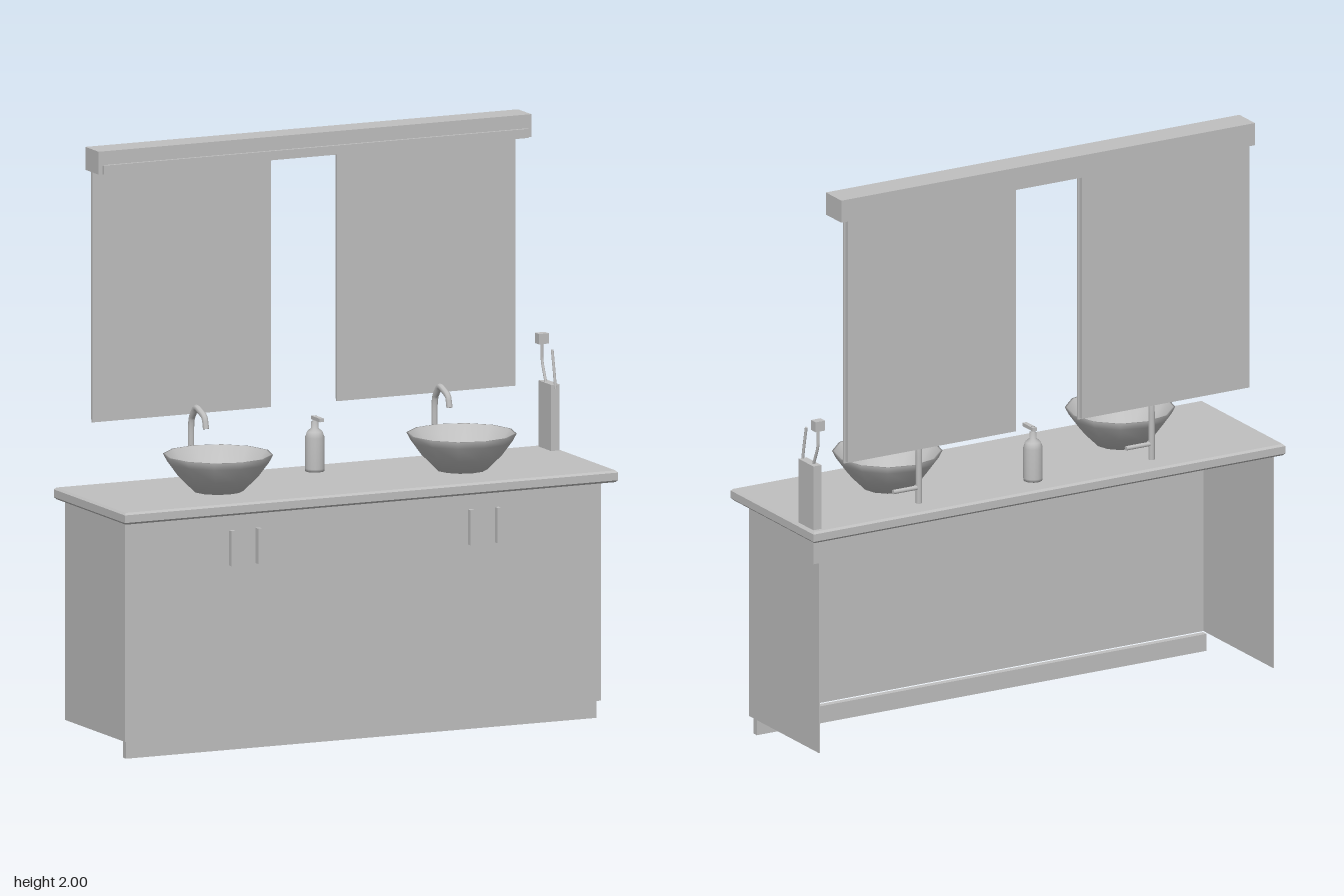
import * as THREE from 'three';

const material = new THREE.MeshStandardMaterial({ color: 0xc0c0c0, side: THREE.DoubleSide });
material.name = 'plain grey';

export function createModel() {
  const model = new THREE.Group();
  model.name = 'doubleVanity';

  const add = (name, geometry, parent = model) => {
    const mesh = new THREE.Mesh(geometry, material);
    mesh.name = name;
    parent.add(mesh);
    return mesh;
  };
  // Box given by its limits on each axis
  const box = (name, x0, x1, y0, y1, z0, z1, parent) => {
    const mesh = add(name, new THREE.BoxGeometry(x1 - x0, y1 - y0, z1 - z0), parent);
    mesh.position.set((x0 + x1) / 2, (y0 + y1) / 2, (z0 + z1) / 2);
    return mesh;
  };
  // Pipe through points, with straight runs and rounded corners
  const pipe = (name, points, radius, parent, sides = 8) => {
    const p = points.map((a) => new THREE.Vector3(...a));
    const path = new THREE.CurvePath();
    let from = p[0];
    for (let i = 1; i < p.length - 1; i++) {
      const before = p[i].clone().lerp(p[i - 1], 0.25);
      const after = p[i].clone().lerp(p[i + 1], 0.25);
      path.add(new THREE.LineCurve3(from, before));
      path.add(new THREE.QuadraticBezierCurve3(before, p[i], after));
      from = after;
    }
    path.add(new THREE.LineCurve3(from, p[p.length - 1]));
    const mesh = add(name, new THREE.TubeGeometry(path, 32, radius, sides), parent);
    // Close both ends
    for (const t of [0, 1]) {
      const cap = add(name + 'End', new THREE.CircleGeometry(radius, sides), parent);
      cap.position.copy(path.getPoint(t));
      const dir = path.getTangent(t).multiplyScalar(t ? 1 : -1);
      cap.quaternion.setFromUnitVectors(new THREE.Vector3(0, 0, 1), dir);
    }
    return mesh;
  };
  const lathe = (points, sides) =>
    new THREE.LatheGeometry(points.map(([r, y]) => new THREE.Vector2(r, y)), sides);

  // Cabinet: thin shell, open at the back and underneath
  const cabinet = new THREE.Group();
  cabinet.name = 'cabinet';
  model.add(cabinet);
  box('cabinetFront', -0.888, 0.883, 0.06, 0.81, 0.206, 0.21, cabinet);
  box('cabinetRightSide', -0.888, -0.884, 0.06, 0.81, -0.25, 0.206, cabinet);
  box('cabinetLeftSide', 0.879, 0.883, 0.06, 0.81, -0.25, 0.206, cabinet);
  box('kickBoard', -0.878, 0.873, 0, 0.06, 0.175, 0.197, cabinet);
  for (const x of [-0.495, -0.395, 0.395, 0.495]) {
    box('doorHandle', x - 0.007, x + 0.007, 0.63, 0.75, 0.21, 0.23, cabinet);
  }

  // Countertop with a narrow bevelled edge
  const slab = new THREE.Shape([[-0.912, -0.265], [0.91, -0.265], [0.91, 0.265], [-0.912, 0.265]]
    .map(([x, y]) => new THREE.Vector2(x, y)));
  const top = new THREE.ExtrudeGeometry(slab, {
    depth: 0.026, bevelEnabled: true, bevelSize: 0.007, bevelThickness: 0.007, bevelSegments: 1,
  });
  top.rotateX(-Math.PI / 2);
  add('countertop', top).position.y = 0.817;

  // Basins with their taps
  for (const x of [-0.453, 0.453]) {
    const station = new THREE.Group();
    station.name = 'basinStation';
    station.position.x = x;
    model.add(station);
    const bowl = lathe([
      [0, 0.851], [0.085, 0.851], [0.135, 0.9], [0.172, 0.95], [0.185, 0.975],
      [0.178, 0.975], [0.145, 0.93], [0.09, 0.885], [0.025, 0.865], [0, 0.865],
    ], 12);
    add('basin', bowl, station).position.z = 0.027;
    pipe('tapSpout', [
      [0, 0.85, -0.18], [0, 1.06, -0.18], [0, 1.11, -0.14], [0, 1.085, -0.075], [0, 1.045, -0.065],
    ], 0.011, station);
    pipe('tapLever', [[0, 0.905, -0.18], [0.05, 0.905, -0.18], [0.1, 0.905, -0.18]], 0.008, station);
  }

  // Soap bottle with pump
  const soap = new THREE.Group();
  soap.name = 'soapBottle';
  soap.position.z = -0.165;
  model.add(soap);
  add('bottleBody', lathe([
    [0, 0.85], [0.032, 0.85], [0.033, 0.86], [0.033, 0.965], [0.026, 0.985],
    [0.012, 0.997], [0.012, 1.018], [0.007, 1.02], [0.007, 1.038], [0, 1.038],
  ], 16), soap);
  box('pumpNozzle', -0.008, 0.008, 1.025, 1.037, -0.012, 0.055, soap);

  // Holder at the counter's left end, with two brushes
  const holder = new THREE.Group();
  holder.name = 'brushHolder';
  model.add(holder);
  box('holderBody', 0.874, 0.905, 0.73, 1.075, -0.25, -0.153, holder);
  pipe('frontBrush', [[0.89, 1.06, -0.152], [0.89, 1.12, -0.163], [0.89, 1.19, -0.178]], 0.005, holder);
  pipe('rearBrush', [[0.887, 1.06, -0.215], [0.887, 1.14, -0.25], [0.887, 1.205, -0.25]], 0.005, holder);
  box('brushHead', 0.868, 0.905, 1.2, 1.235, -0.265, -0.235, holder);

  // Two mirrors, each a front sheet on a backing panel
  for (const [x0, x1] of [[-0.79, -0.125], [0.12, 0.785]]) {
    box('mirrorGlass', x0, x1, 1.065, 1.93, -0.249, -0.242, model);
    box('mirrorBacking', x0 + 0.006, x1 - 0.006, 1.071, 1.93, -0.265, -0.249, model);
  }

  // Light canopy over the mirrors
  box('lightCanopy', -0.805, 0.805, 1.922, 2, -0.265, -0.163);
  box('lightStrip', -0.79, 0.79, 1.922, 1.953, -0.163, -0.152);

  return model;
}
